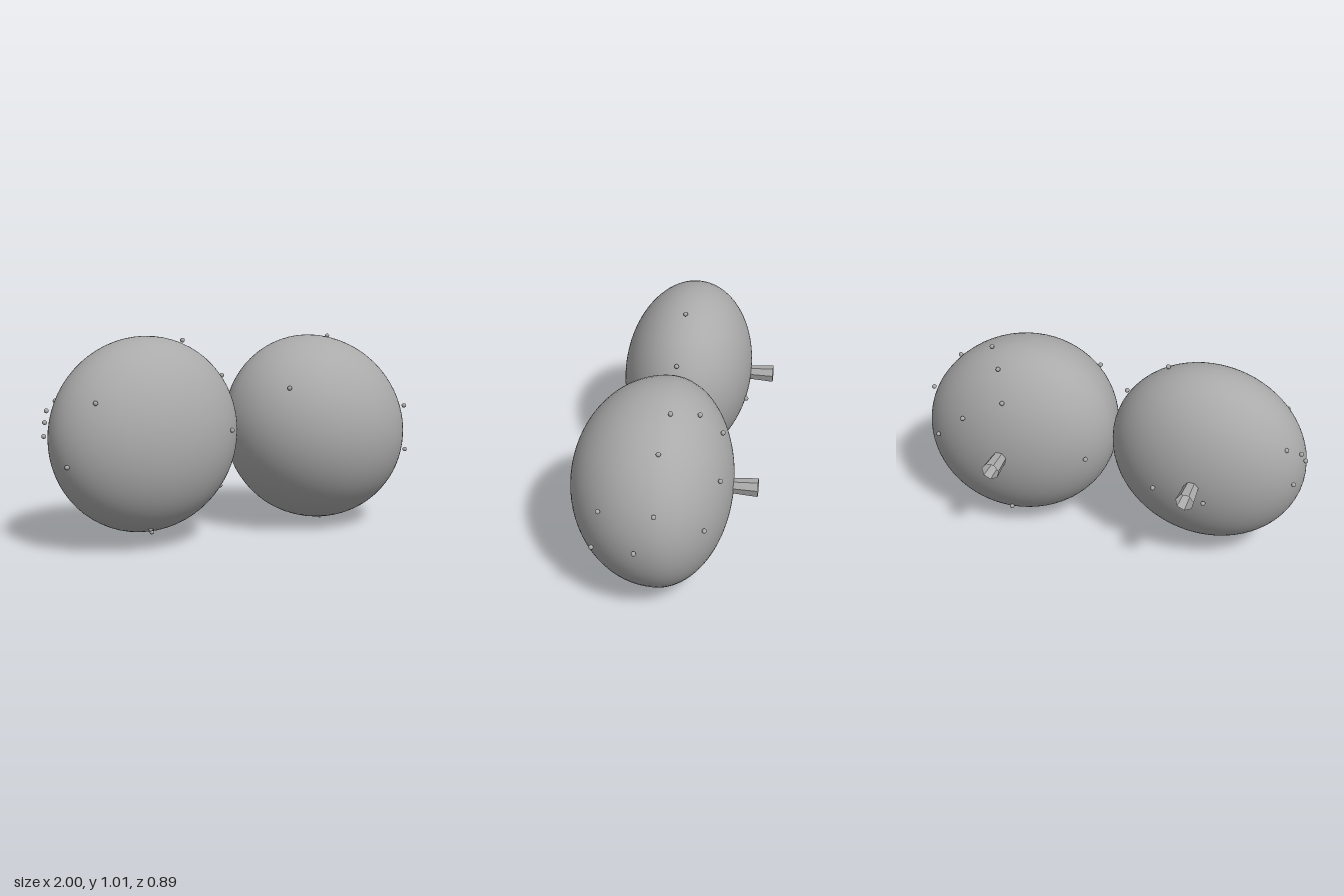
import * as THREE from 'three';

const grey = new THREE.MeshStandardMaterial({ color: 0xaaaaaa });
grey.name = 'grey';
const stemGrey = new THREE.MeshStandardMaterial({ color: 0xaaaaaa, side: THREE.DoubleSide, flatShading: true });
stemGrey.name = 'stem grey';

// Ellipsoid whose front and back halves have different depths, smooth normals
function podGeometry(a, b, front, back) {
  const geo = new THREE.SphereGeometry(1, 64, 48);
  geo.rotateX(Math.PI / 2); // poles on z, so the halves meet on a vertex ring
  const p = geo.attributes.position, n = geo.attributes.normal;
  const v = new THREE.Vector3();
  for (let i = 0; i < p.count; i++) {
    v.fromBufferAttribute(p, i);
    const c = v.z > 0 ? front : back;
    p.setXYZ(i, v.x * a, v.y * b, v.z * c);
    v.set(v.x / a, v.y / b, v.z / c).normalize();
    n.setXYZ(i, v.x, v.y, v.z);
  }
  return geo;
}

const beadGeometry = new THREE.SphereGeometry(0.0115, 12, 8);

function makePod(name, { centre, size, roll, pitch, stem, beads }) {
  const group = new THREE.Group();
  group.name = name;

  const body = new THREE.Mesh(podGeometry(...size), grey);
  body.name = name + 'Body';
  body.position.set(...centre);
  body.rotation.set(pitch, 0, roll);
  group.add(body);

  // Open seven-sided stem flaring towards the back
  const tube = new THREE.CylinderGeometry(0.035, 0.045, 0.145, 7, 1, true);
  tube.rotateX(Math.PI / 2);
  const stemMesh = new THREE.Mesh(tube, stemGrey);
  stemMesh.name = name + 'Stem';
  stemMesh.position.set(stem[0], stem[1], -0.3725);
  group.add(stemMesh);

  // Small beads scattered over the surface
  for (const b of beads) {
    const bead = new THREE.Mesh(beadGeometry, grey);
    bead.name = name + 'Bead';
    bead.position.set(...b);
    group.add(bead);
  }
  return group;
}

export function createModel() {
  const model = new THREE.Group();
  model.name = 'pairOfPods';

  model.add(makePod('leftPod', {
    centre: [0.477, 0.507, 0.005],
    size: [0.508, 0.465, 0.437, 0.335],
    roll: -0.586,
    pitch: 0,
    stem: [0.477, 0.507],
    beads: [
      [0.605, 0.968, -0.048], [0.79, 0.873, -0.019], [0.955, 0.652, -0.02],
      [0.895, 0.613, 0.241], [0.985, 0.463, 0.068], [0.873, 0.39, 0.283],
      [0.55, 0.015, -0.018], [0.152, 0.757, 0.285], [0.525, 0.922, -0.172],
      [0.47, 0.797, -0.273], [0.68, 0.675, -0.285], [0.847, 0.515, -0.232],
      [0.07, 0.507, -0.205], [0.47, 0.135, -0.217],
    ],
  }));

  model.add(makePod('rightPod', {
    centre: [-0.501, 0.546, 0.004],
    size: [0.488, 0.469, 0.334, 0.332],
    roll: 0.457,
    pitch: -0.1,
    stem: [-0.501, 0.546],
    beads: [
      [-0.285, 0.99, -0.003], [-0.075, 0.807, 0.015], [-0.145, 0.567, 0.237],
      [-0.845, 0.743, 0.195], [-0.957, 0.443, 0.115], [-0.99, 0.632, -0.06],
      [-0.97, 0.683, -0.085], [-0.905, 0.72, -0.13], [-0.957, 0.55, -0.155],
      [-0.565, 0.48, -0.34], [-0.31, 0.5, -0.32], [-0.175, 0.288, 0.17],
      [-0.232, 0.16, 0.03], [-0.48, 0.062, 0.03], [-0.548, 0.11, 0.15],
    ],
  }));

  return model;
}
